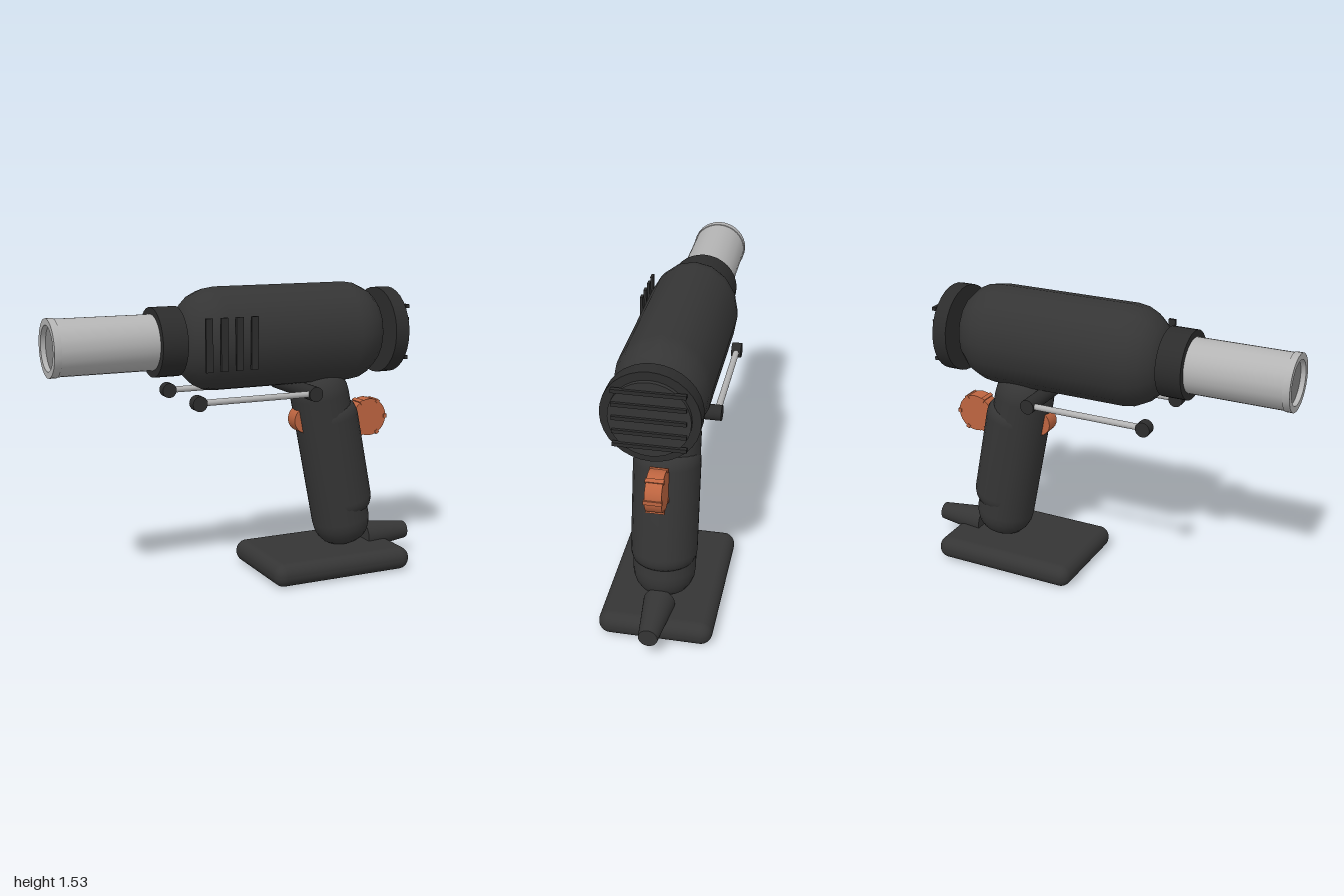
import * as THREE from 'three';
import { toCreasedNormals } from 'three/addons/utils/BufferGeometryUtils.js';
import { RoundedBoxGeometry } from 'three/addons/geometries/RoundedBoxGeometry.js';

const paint = (name, color) => {
  const m = new THREE.MeshStandardMaterial({ color });
  m.name = name;
  return m;
};

export function createModel() {
  const dark = paint('dark plastic', 0x353535);
  const black = paint('black plastic', 0x2c2c2c);
  const steel = paint('steel', 0xb4b4b4);
  const shade = paint('nozzle inside', 0x858585);
  const orange = paint('orange', 0xbe6540);

  const model = new THREE.Group();
  model.name = 'heatGun';

  function add(name, geometry, material, x = 0, y = 0, z = 0, parent = model) {
    const mesh = new THREE.Mesh(geometry, material);
    mesh.name = name;
    mesh.position.set(x, y, z);
    parent.add(mesh);
    return mesh;
  }

  // Round bar along x from x0 to x1, with a radius at each end
  function barX(name, material, x0, x1, r0, r1, y, z = 0, sides = 32) {
    const g = new THREE.CylinderGeometry(r1, r0, x1 - x0, sides);
    g.rotateZ(-Math.PI / 2);
    return add(name, g, material, (x0 + x1) / 2, y, z);
  }

  // Round bar along z
  function barZ(name, material, r, length, x, y, z, sides = 24) {
    const g = new THREE.CylinderGeometry(r, r, length, sides);
    g.rotateX(Math.PI / 2);
    return add(name, g, material, x, y, z);
  }

  // Upright barrel with rounded shoulders; cap is the shoulder length, flat the end radius
  function barrel(r, length, cap, flat, sides) {
    const half = [];
    for (let i = 0; i <= 5; i++) {
      const a = (i / 5) * Math.PI / 2;
      half.push([flat + (r - flat) * Math.sin(a), length / 2 - cap + cap * Math.cos(a)]);
    }
    const points = [
      [0, -length / 2], ...half.map(([a, b]) => [a, -b]),
      ...half.reverse(), [0, length / 2],
    ].map(([a, b]) => new THREE.Vector2(a, b));
    return new THREE.LatheGeometry(points, sides);
  }

  // Motor housing
  const axisY = 1.27;
  const housing = barrel(0.26, 1.13, 0.2, 0.07, 16);
  housing.rotateZ(-Math.PI / 2).scale(1, 1, 0.87);
  add('housing', housing, dark, 0.215, axisY);

  // Side vents
  for (let i = 0; i < 4; i++) {
    add('sideVent', new THREE.BoxGeometry(0.036, 0.26, 0.014), black, -0.27 + i * 0.08, axisY, 0.231);
  }

  // Collar and nozzle
  barX('collar', black, -0.48, -0.35, 0.172, 0.172, axisY);
  const nozzleProfile = [
    [0.11, -0.97], [0.11, -1], [0.142, -1], [0.142, -0.965], [0.138, -0.965], [0.138, -0.47],
  ].map(([a, b]) => new THREE.Vector2(a, b));
  const nozzle = toCreasedNormals(new THREE.LatheGeometry(nozzleProfile, 32), 0.6);
  nozzle.rotateZ(-Math.PI / 2);
  add('nozzle', nozzle, steel, 0, axisY);
  const outlet = new THREE.CircleGeometry(0.112, 32).rotateY(-Math.PI / 2);
  add('nozzleOutlet', outlet, shade, -0.975, axisY);

  // Intake cap with slats
  barX('intakeCap', black, 0.78, 0.857, 0.225, 0.225, axisY);
  barX('intakeGrille', dark, 0.85, 0.877, 0.185, 0.185, axisY);
  for (let i = -2; i <= 2; i++) {
    add('intakeSlat', new THREE.BoxGeometry(0.02, 0.018, 0.33), black, 0.88, axisY + i * 0.067);
  }

  // Handle core and grip, leaning back
  const handle = new THREE.Group();
  handle.name = 'handle';
  handle.position.set(0.53, 0.6, 0);
  handle.rotation.z = 0.2;
  model.add(handle);
  add('handleCore', barrel(0.155, 0.96, 0.13, 0.06, 24), dark, -0.004, 0, 0, handle);
  add('handleGrip', barrel(0.163, 0.6, 0.07, 0.12, 24), dark, 0.019, -0.01, 0, handle);

  // Ridged dial and trigger
  barZ('dial', orange, 0.1, 0.08, 0.74, 0.805, 0);
  for (let i = 0; i < 6; i++) {
    const a = (i * Math.PI) / 3;
    const ridge = add('dialRidge', new THREE.BoxGeometry(0.02, 0.02, 0.088), orange,
      0.74 + 0.096 * Math.cos(a), 0.805 + 0.096 * Math.sin(a));
    ridge.rotation.z = a;
  }
  barZ('trigger', orange, 0.07, 0.08, 0.362, 0.82, 0);

  // Support rods, their crossbar and end knobs
  barZ('crossbar', black, 0.038, 0.46, 0.315, 0.99, 0);
  for (const side of [-1, 1]) {
    barX('supportRod', steel, -0.315, 0.315, 0.016, 0.016, 0.99, side * 0.205, 16);
    barZ('rodKnob', black, 0.038, 0.05, -0.317, 0.99, side * 0.205);
  }

  // Base and cable sleeve
  add('base', new RoundedBoxGeometry(0.8, 0.12, 0.56, 5, 0.057), dark, 0.483, 0.06);
  barX('cableSleeve', dark, 0.735, 1, 0.078, 0.047, 0.135);

  return model;
}
